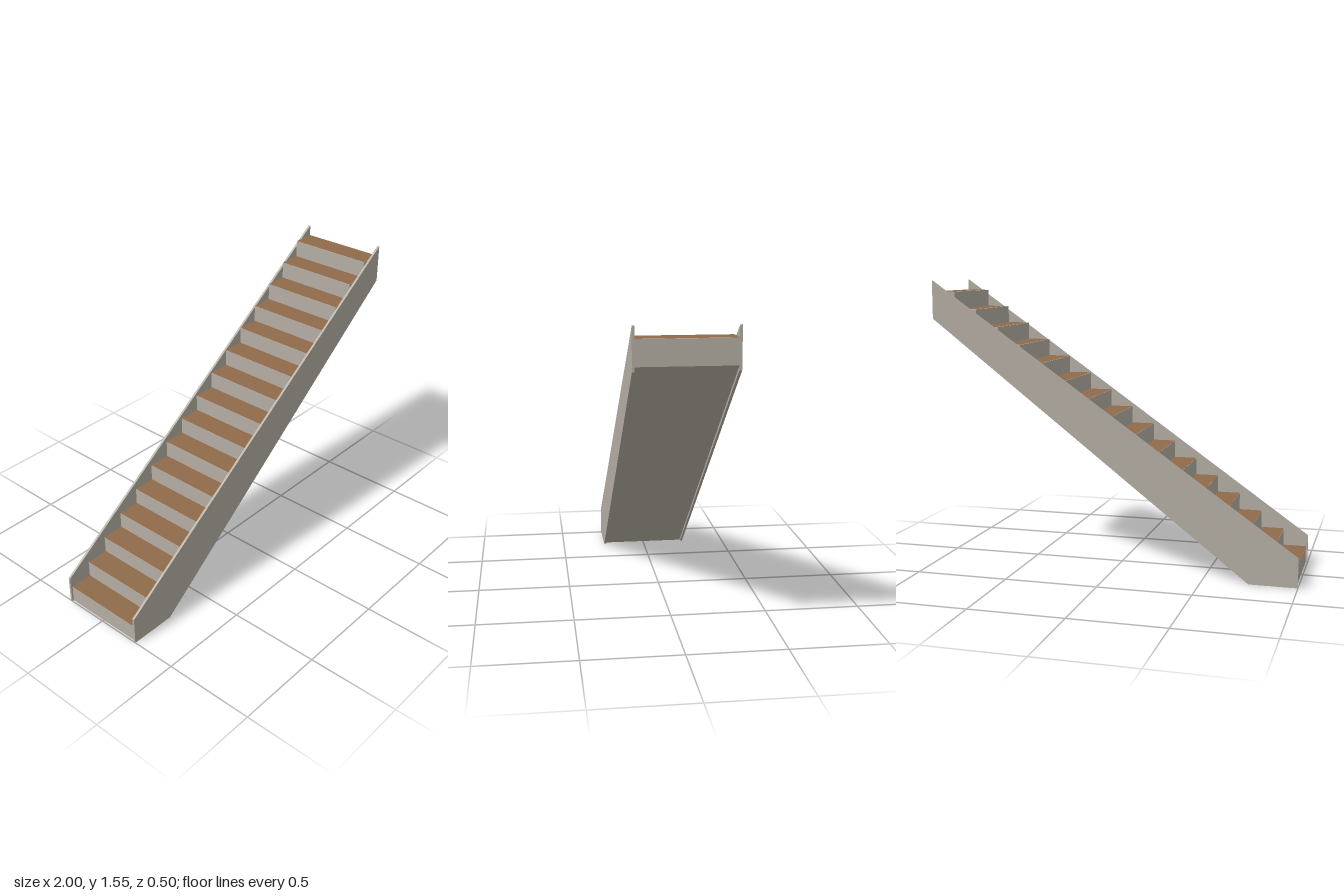
import * as THREE from 'three';

const STEPS = 16;
const START = -0.99;
const RUN = (1 - START) / STEPS;
const RISE = 1.494 / STEPS;
const INNER = 0.235; // half width between the side boards
const BOARD = 0.0125; // side board thickness

// Extrude a side profile (x, y) along z, starting at z0
function extrudeProfile(points, z0, depth) {
  const shape = new THREE.Shape(points.map(([x, y]) => new THREE.Vector2(x, y)));
  const geometry = new THREE.ExtrudeGeometry(shape, { depth, bevelEnabled: false });
  return geometry.translate(0, 0, z0);
}

export function createModel() {
  const group = new THREE.Group();
  group.name = 'staircase';

  const paint = new THREE.MeshStandardMaterial({ color: 0xb5aea4 });
  paint.name = 'warm grey paint';
  const wood = new THREE.MeshStandardMaterial({ color: 0x8f6b4a });
  wood.name = 'brown wood';

  const add = (name, geometry, material) => {
    const mesh = new THREE.Mesh(geometry, material);
    mesh.name = name;
    group.add(mesh);
  };

  // Solid flight: sloping underside and a sawtooth of risers
  const flight = [[START, 0], [-0.77, 0], [1, 1.37]];
  for (let i = STEPS - 1; i >= 0; i--) {
    const y = (i + 1) * RISE;
    flight.push([START + (i + 1) * RUN, y], [START + i * RUN, y]);
  }
  add('flight', extrudeProfile(flight, -INNER, INNER * 2), paint);

  // Wooden tread faces
  for (let i = 0; i < STEPS; i++) {
    const tread = new THREE.PlaneGeometry(RUN, INNER * 2).rotateX(-Math.PI / 2);
    tread.translate(START + (i + 0.5) * RUN, (i + 1) * RISE + 0.0015, 0);
    add('tread' + (i + 1), tread, wood);
  }

  // Side boards
  const board = [[-1, 0], [-0.745, 0], [1, 1.348], [1, 1.553], [-1, 0.155]];
  add('frontSideBoard', extrudeProfile(board, INNER, BOARD), paint);
  add('backSideBoard', extrudeProfile(board, -INNER - BOARD, BOARD), paint);

  return group;
}
